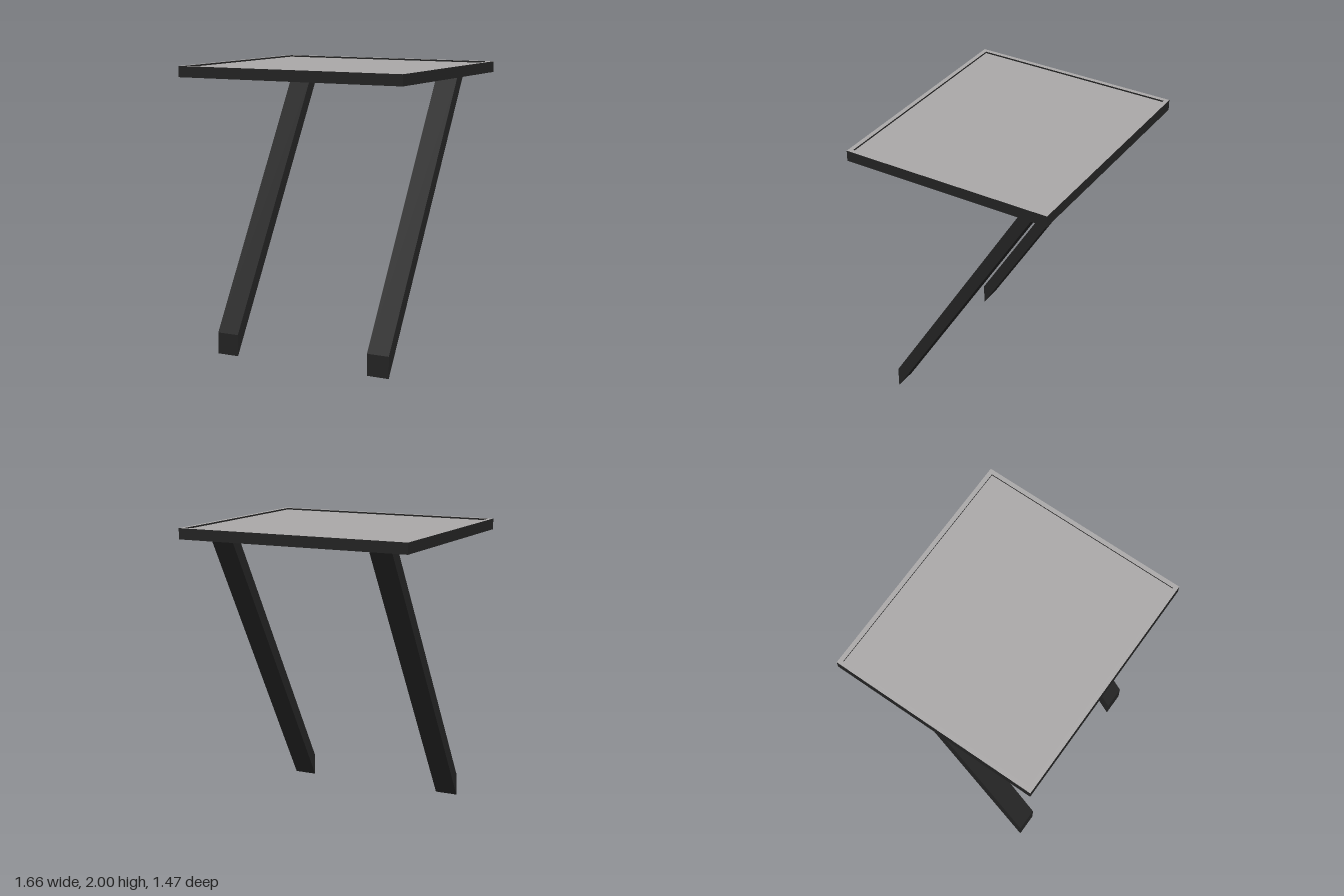
import * as THREE from 'three';

const W = 0.83, D = 0.735;   // half width and half depth of the top
const BOTTOM = 1.925, RIM = 1.98, TOP = 2, INSET = 0.03;

const black = new THREE.MeshStandardMaterial({ color: 0x242424 });
black.name = 'black frame';
const grey = new THREE.MeshStandardMaterial({ color: 0xaaa8a8 });
grey.name = 'grey surface';

function addMesh(group, name, geometry, material) {
  const mesh = new THREE.Mesh(geometry, material);
  mesh.name = name;
  group.add(mesh);
  return mesh;
}

// Rectangle corners, centred on the origin
const corners = (w, d) => [[-w, -d], [w, -d], [w, d], [-w, d]].map(([x, y]) => new THREE.Vector2(x, y));

export function createModel() {
  const table = new THREE.Group();
  table.name = 'table';

  // Dark slab under the surface
  addMesh(table, 'tabletopSlab', new THREE.BoxGeometry(2 * W, RIM - BOTTOM, 2 * D), black)
    .position.y = (BOTTOM + RIM) / 2;

  // Raised rim: grey on top, dark at its inner and outer edges
  const rim = new THREE.Shape(corners(W, D));
  rim.holes.push(new THREE.Path(corners(W - INSET, D - INSET)));
  const rimGeometry = new THREE.ExtrudeGeometry(rim, { depth: TOP - RIM, bevelEnabled: false });
  rimGeometry.rotateX(-Math.PI / 2);
  addMesh(table, 'tabletopRim', rimGeometry, [grey, black]).position.y = RIM;

  // Slightly recessed surface panel
  addMesh(table, 'surfacePanel', new THREE.BoxGeometry(2 * (W - INSET), 0.009, 2 * (D - INSET)), grey)
    .position.y = RIM + 0.0045;

  // Slanted legs, cut upright at the foot and level under the slab
  const profile = new THREE.Shape([
    new THREE.Vector2(-0.56, 0), new THREE.Vector2(0.605, BOTTOM),
    new THREE.Vector2(0.51, BOTTOM), new THREE.Vector2(-0.56, 0.15),
  ]);
  const legGeometry = new THREE.ExtrudeGeometry(profile, { depth: 0.16, bevelEnabled: false });
  legGeometry.translate(0, 0, -0.08).rotateY(Math.PI / 2);
  for (const [name, side] of [['leftLeg', 1], ['rightLeg', -1]]) {
    addMesh(table, name, legGeometry, black).position.x = side * 0.58;
  }
  return table;
}
